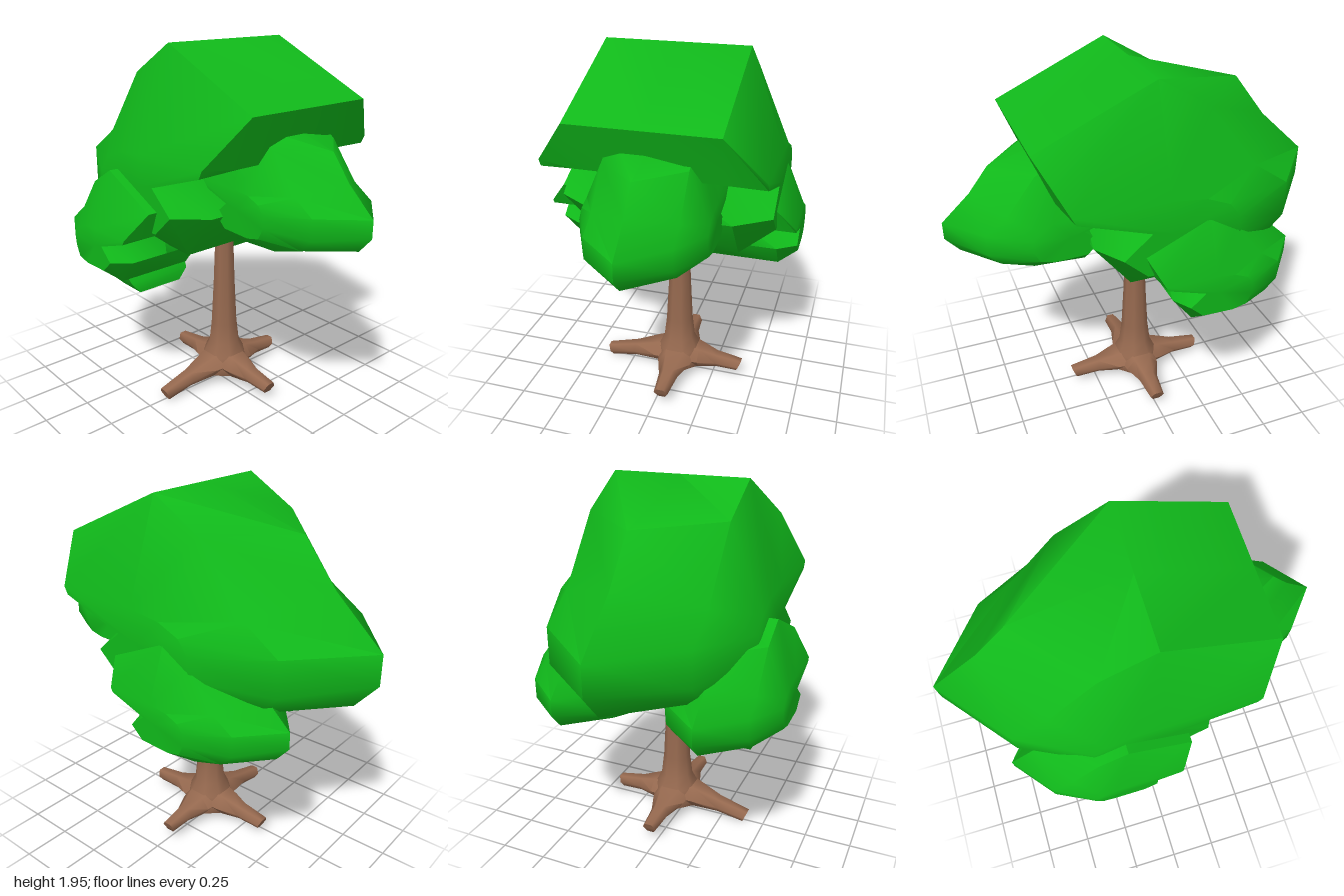
import * as THREE from 'three';
import { toCreasedNormals } from 'three/addons/utils/BufferGeometryUtils.js';

const leafMat = new THREE.MeshStandardMaterial({ color: 0x10b81a });
const barkMat = new THREE.MeshStandardMaterial({ color: 0x96694f });

// Skin a row of rings (arrays of [x, y, z], clockwise seen from the far end) and cap both ends
function loft(rings, crease) {
  const n = rings[0].length, last = rings.length - 1;
  const pos = rings.flat(2), index = [];
  for (let i = 0; i < last; i++) {
    for (let j = 0; j < n; j++) {
      const k = (j + 1) % n;
      const a = i * n + j, b = i * n + k, c = a + n, d = b + n;
      index.push(a, c, b, b, c, d);
    }
  }
  for (const r of [0, last]) {
    const centre = pos.length / 3;
    for (let axis = 0; axis < 3; axis++) pos.push(rings[r].reduce((s, p) => s + p[axis], 0) / n);
    for (let j = 0; j < n; j++) {
      const a = r * n + j, b = r * n + (j + 1) % n;
      if (r === 0) index.push(centre, a, b);
      else index.push(centre, b, a);
    }
  }
  const g = new THREE.BufferGeometry();
  g.setAttribute('position', new THREE.Float32BufferAttribute(pos, 3));
  g.setIndex(index);
  return toCreasedNormals(g, crease);
}

// Leaf clump: [z, y] profiles at the middle, the shoulders and the outer sides
function clumpGeometry() {
  const crown = [[0.62, 1.68], [0.03, 1.95]];
  const middle = [...crown, [-0.56, 1.78], [-0.74, 1.55], [-1, 1.31], [-1, 1.15], [-0.88, 1.01], [-0.4, 0.87],
    [0.16, 0.91], [0.35, 1.15], [0.32, 1.37], [0.52, 1.43]];
  const shoulder = [...crown, [-0.24, 1.79], [-0.5, 1.45], [-0.69, 1.32], [-0.69, 1.13], [-0.58, 1.02], [-0.3, 0.93],
    [0.16, 0.91], [0.35, 1.15], [0.16, 1.35], [0.52, 1.43]];
  const side = [[0.5, 1.45], [0.03, 1.44], [-0.15, 1.42], [-0.27, 1.37], [-0.33, 1.29], [-0.33, 1.18], [-0.28, 1.08], [-0.15, 1.05],
    [0.14, 1.06], [0.26, 1.17], [0.12, 1.29], [0.48, 1.41]];
  const rings = [[-0.555, side], [-0.37, shoulder], [0, middle], [0.37, shoulder], [0.555, side]]
    .map(([x, profile]) => profile.map(([z, y]) => [x, y, z]));
  return loft(rings, 0.85);
}

// Small lobe hanging below the right clump, from [height, half width, back z, front z] steps
function lowerLobeGeometry() {
  const steps = [[0.66, 0.13, -0.24, -0.08], [0.72, 0.18, -0.4, -0.08], [0.8, 0.2, -0.45, -0.14]];
  const rings = steps.map(([y, w, back, front]) => [[w, y, back], [w, y, front], [-w, y, front], [-w, y, back]]);
  return loft(rings, 0.85);
}

// Flared trunk from [height, radius] steps
function trunkGeometry() {
  const steps = [[0.05, 0.13], [0.1, 0.145], [0.16, 0.125], [0.23, 0.09], [0.35, 0.076], [0.6, 0.063], [0.9, 0.052], [1.15, 0.045]];
  const rings = steps.map(([y, r]) => Array.from({ length: 8 }, (_, i) => {
    const a = (i + 0.5) * Math.PI / 4;
    return [r * Math.cos(a), y, r * Math.sin(a)];
  }));
  return loft(rings, 1.3);
}

// Tapering root running along +x to a blunt tip, from [x, centre y, half height, half width] steps
function rootGeometry(length, tipY) {
  const steps = [[0.02, 0.125, 0.085, 0.12], [0.13, 0.108, 0.068, 0.095], [length * 0.6, 0.06 + tipY * 0.45, 0.044, 0.055],
    [length - 0.015, tipY, 0.036, 0.04]];
  const rings = steps.map(([x, y, h, w], s) => Array.from({ length: 6 }, (_, i) => {
    const a = i * Math.PI / 3;
    const lean = s === steps.length - 1 ? 0.015 * Math.sin(a) : 0;
    return [x + lean, y + h * Math.sin(a), w * Math.cos(a)];
  }));
  return loft(rings, 1.3);
}

export function createModel() {
  const tree = new THREE.Group();
  tree.name = 'tree';
  const add = (name, geometry, material) => {
    const mesh = new THREE.Mesh(geometry, material);
    mesh.name = name;
    tree.add(mesh);
    return mesh;
  };

  // Foliage: one large crown and three smaller copies
  const clump = clumpGeometry();
  add('mainCrown', clump, leafMat).position.x = 0.03;
  const copies = [['leftClump', 0.37, 0.235, -0.19, 0], ['rightClump', -0.365, 0.235, -0.19, 0], ['frontClump', 0.038, 0.5, 0.44, Math.PI]];
  for (const [name, x, y, z, turn] of copies) {
    const copy = add(name, clump, leafMat);
    copy.scale.setScalar(0.56);
    copy.position.set(x, y, z);
    copy.rotation.y = turn;
  }
  add('rightLowerLobe', lowerLobeGeometry(), leafMat).position.x = -0.35;

  // Trunk and four roots
  add('trunk', trunkGeometry(), barkMat).position.x = 0.04;
  const roots = [['leftRoot', 0.38, 0.08], ['backRoot', 0.4, 0.08], ['rightRoot', 0.45, 0.036], ['frontRoot', 0.4, 0.082]];
  roots.forEach(([name, length, tipY], i) => {
    const root = add(name, rootGeometry(length, tipY), barkMat);
    root.position.x = 0.04;
    root.rotation.y = i * Math.PI / 2;
  });
  return tree;
}
